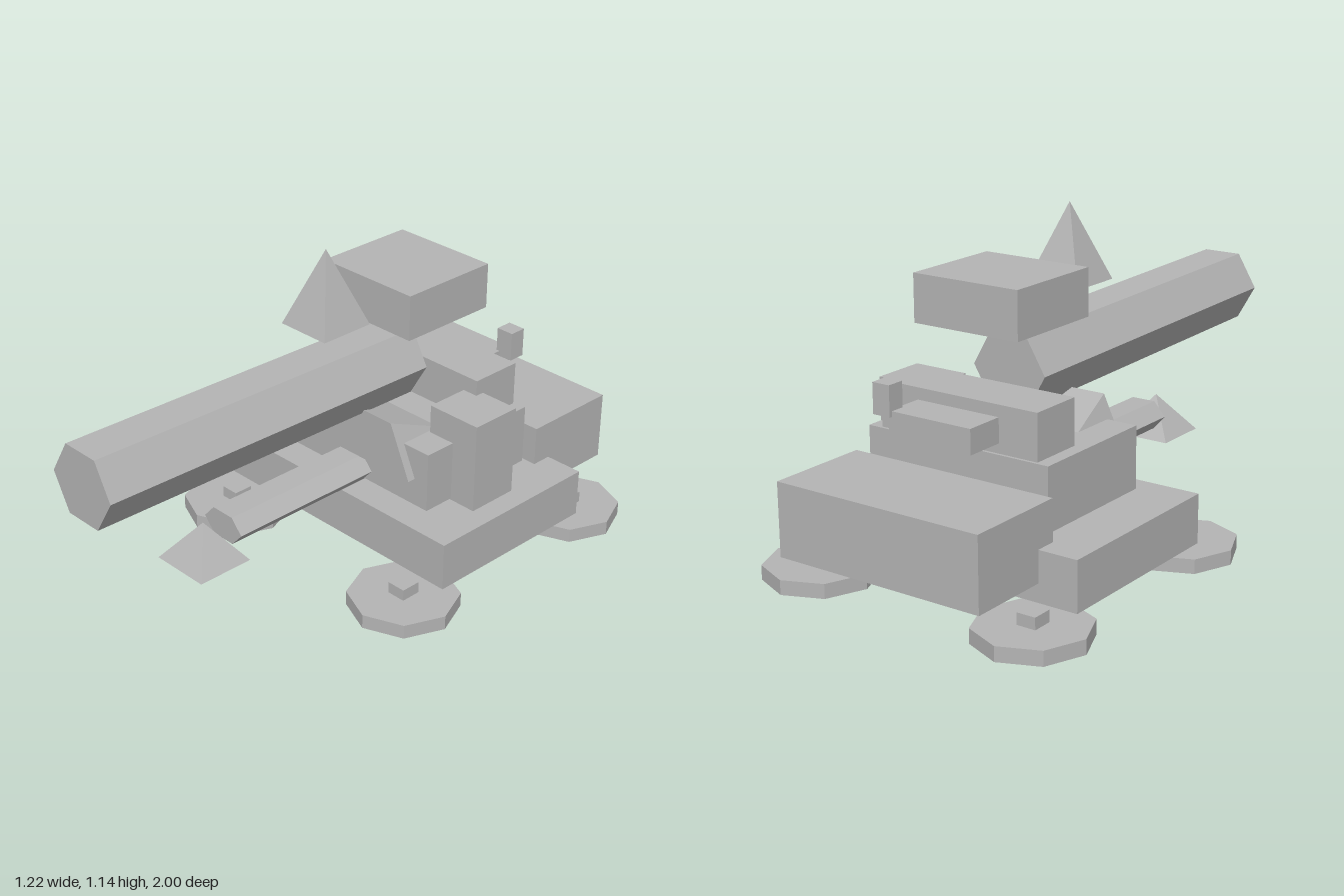
import * as THREE from 'three';
import { ConvexGeometry } from 'three/addons/geometries/ConvexGeometry.js';

export function createModel() {
  const model = new THREE.Group();
  model.name = 'tank';
  const grey = new THREE.MeshStandardMaterial({ color: 0xb4b4b4, flatShading: true });
  grey.name = 'plain grey';

  const add = (name, geometry, x = 0, y = 0, z = 0) => {
    const mesh = new THREE.Mesh(geometry, grey);
    mesh.name = name;
    mesh.position.set(x, y, z);
    model.add(mesh);
    return mesh;
  };

  // Box given by its limits on each axis
  const box = (name, [x0, x1], [y0, y1], [z0, z1]) =>
    add(name, new THREE.BoxGeometry(x1 - x0, y1 - y0, z1 - z0),
      (x0 + x1) / 2, (y0 + y1) / 2, (z0 + z1) / 2);

  // Six-sided barrel along z, flat on top
  const hexBarrel = (name, halfWidth, halfHeight, length, y, z) => {
    const g = new THREE.CylinderGeometry(1, 1, length, 6);
    g.rotateY(Math.PI / 6).rotateX(Math.PI / 2);
    g.scale(halfWidth, halfHeight / Math.cos(Math.PI / 6), 1);
    return add(name, g, 0, y, z);
  };

  // Square pyramid with its sides along the axes
  const pyramid = (name, halfX, halfZ, y0, y1, z) => {
    const g = new THREE.ConeGeometry(Math.SQRT2, y1 - y0, 4);
    g.rotateY(Math.PI / 4).scale(halfX, 1, halfZ);
    return add(name, g, 0, (y0 + y1) / 2, z);
  };

  // Hull
  box('hull', [-0.525, 0.525], [0.08, 0.25], [-0.712, -0.03]);
  box('engineBlock', [-0.385, 0.385], [0.143, 0.39], [-1, -0.638]);

  // Octagonal feet with short posts
  for (const x of [-0.418, 0.418]) {
    for (const z of [0.043, -0.785]) {
      add('foot', new THREE.CylinderGeometry(0.19, 0.19, 0.05, 8), x, 0.025, z);
      box('footPost', [x - 0.034, x + 0.034], [0.05, 0.09], [z - 0.036, z + 0.036]);
    }
  }

  // Turret
  box('turretBase', [-0.35, 0.35], [0.26, 0.474], [-0.612, -0.13]);
  box('turretTop', [-0.304, 0.304], [0.474, 0.63], [-0.602, -0.408]);
  box('rearLocker', [-0.16, 0.155], [0.507, 0.59], [-0.741, -0.602]);
  box('rearPost', [0.142, 0.208], [0.572, 0.675], [-0.752, -0.69]);
  box('sideTower', [0.246, 0.452], [0.255, 0.575], [-0.44, -0.248]);

  // Wedge-shaped front plate, its top sloping down to the rear
  add('frontWedge', new ConvexGeometry([-1, 1].flatMap((s) => [
    new THREE.Vector3(s * 0.292, 0.36, -0.1),
    new THREE.Vector3(s * 0.205, 0.547, -0.1),
    new THREE.Vector3(s * 0.292, 0.36, -0.6),
  ])));

  // Guns
  const tilt = Math.atan(0.024 / 1.335);
  hexBarrel('mainGun', 0.14, 0.12, 1.333, 0.659, 0.331).rotation.x = -tilt;
  hexBarrel('lowerGun', 0.09, 0.05, 0.62, 0.3, 0.15);
  pyramid('lowerGunTip', 0.108, 0.103, 0.21, 0.348, 0.543);

  // Floating pieces overhead
  box('overheadBox', [-0.2, 0.2], [0.82, 0.98], [-0.556, -0.184]);
  pyramid('overheadSpike', 0.101, 0.101, 0.874, 1.138, 0);

  return model;
}
